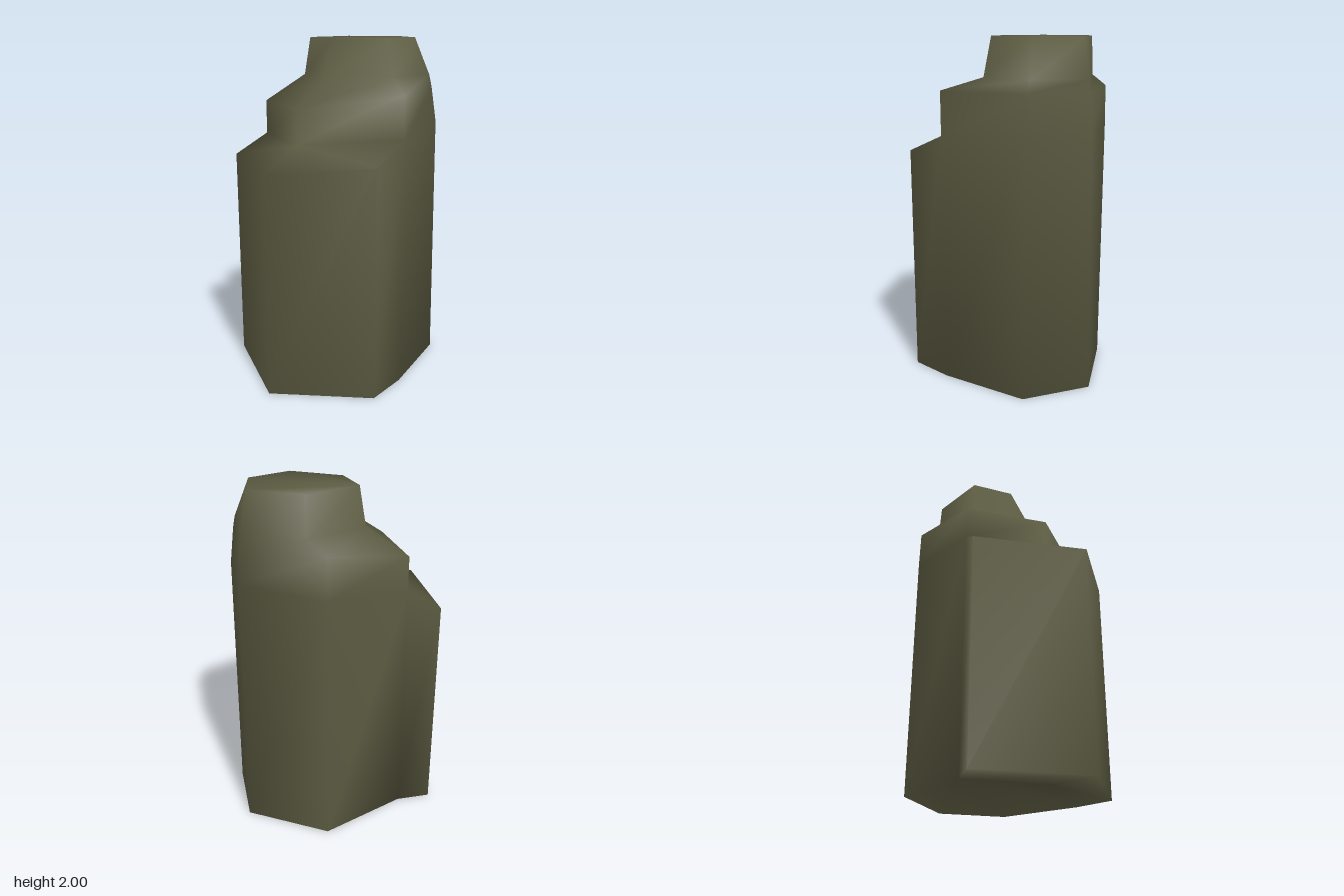
import * as THREE from 'three';

// Weathered stone column: a six-sided core with a lower step at the front.
// Every ring starts at the left-hand side and runs by way of the front.
const widen = (ring) => [0, 0, 1, 1, 2, 3, 4, 5].map((i) => ring[i]);

function loft(rings) {
  const points = [], index = [], known = new Map();
  const id = (p) => {
    const key = p.join();
    if (!known.has(key)) {
      known.set(key, points.length / 3);
      points.push(...p);
    }
    return known.get(key);
  };
  const tri = (a, b, c) => {
    const t = [a, b, c].map(id);
    if (new Set(t).size === 3) index.push(...t);
  };

  // walls and ledges between successive rings
  for (let r = 0; r < rings.length - 1; r++) {
    const low = rings[r], high = rings[r + 1], n = low.length;
    for (let i = 0; i < n; i++) {
      const j = (i + 1) % n;
      tri(low[i], low[j], high[j]);
      tri(low[i], high[j], high[i]);
    }
  }

  // flat ends
  const first = rings[0], last = rings[rings.length - 1];
  for (let i = 1; i < first.length - 1; i++) {
    tri(first[0], first[i + 1], first[i]);
    tri(last[0], last[i], last[i + 1]);
  }

  const geometry = new THREE.BufferGeometry();
  geometry.setAttribute('position', new THREE.Float32BufferAttribute(points, 3));
  geometry.setIndex(index);
  geometry.computeVertexNormals();
  return geometry;
}

export function createModel() {
  const stone = new THREE.MeshStandardMaterial({ color: 0x5c5b42 });
  stone.name = 'mossy stone';

  // underside of the core
  const foot = widen([
    [-0.46, 0, 0.2], [0.01, 0, 0.36], [0.49, 0, -0.01],
    [0.32, 0, -0.515], [-0.07, 0, -0.655], [-0.48, 0, -0.34],
  ]);
  // outline at the ground, with the front step
  const base = [
    [-0.46, 0, 0.2], [-0.53, 0, 0.39], [0.07, 0, 0.65], [0.53, 0, 0.25],
    [0.49, 0, -0.01], [0.32, 0, -0.515], [-0.07, 0, -0.655], [-0.48, 0, -0.34],
  ];
  // outer rim of the front step
  const stepRim = [
    [-0.46, 1.42, 0.2], [-0.53, 1.3, 0.39], [0.07, 1.3, 0.65], [0.53, 1.35, 0.25],
    [0.49, 1.46, -0.01], [0.31, 1.5, -0.505], [-0.06, 1.5, -0.63], [-0.48, 1.48, -0.34],
  ];
  // where the sloping step meets the core
  const stepBack = widen([
    [-0.46, 1.42, 0.2], [0.01, 1.42, 0.36], [0.49, 1.46, -0.01],
    [0.31, 1.5, -0.505], [-0.06, 1.5, -0.63], [-0.48, 1.48, -0.34],
  ]);
  const shoulder = widen([
    [-0.46, 1.62, 0.2], [0.01, 1.62, 0.36], [0.49, 1.71, -0.01],
    [0.28, 1.71, -0.492], [-0.06, 1.71, -0.613], [-0.475, 1.71, -0.34],
  ]);
  const neck = widen([
    [-0.3, 1.78, 0.02], [-0.03, 1.78, 0.11], [0.29, 1.78, -0.14],
    [0.265, 1.78, -0.485], [-0.06, 1.78, -0.605], [-0.33, 1.78, -0.37],
  ]);
  const top = widen([
    [-0.28, 2, -0.01], [-0.03, 2, 0.05], [0.235, 2, -0.14],
    [0.2, 2, -0.42], [-0.06, 2, -0.56], [-0.315, 2, -0.37],
  ]);

  const column = new THREE.Mesh(
    loft([foot, base, stepRim, stepBack, shoulder, neck, top]), stone);
  column.name = 'stoneColumn';

  const group = new THREE.Group();
  group.name = 'steppedRock';
  group.add(column);
  return group;
}
